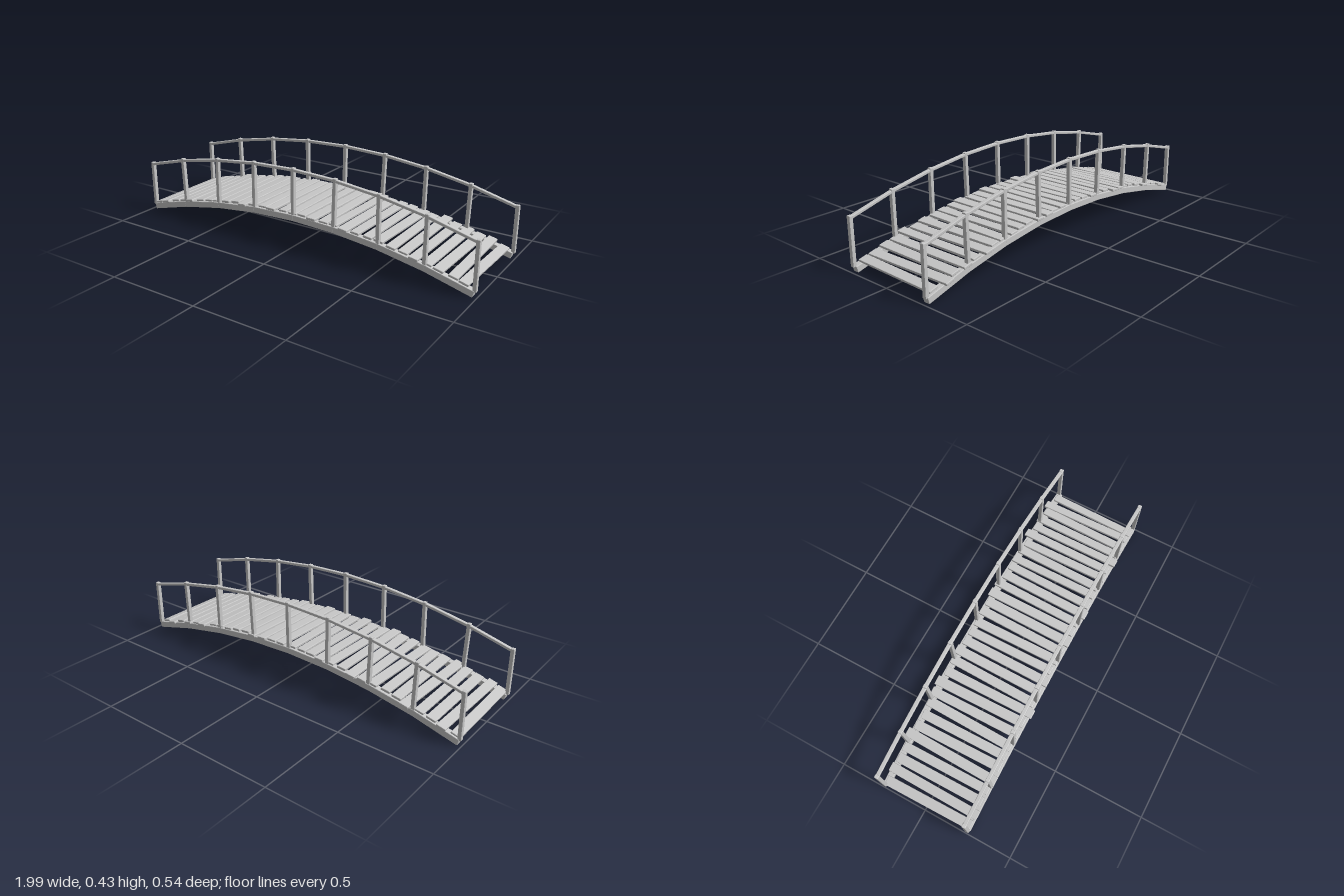
import * as THREE from 'three';
import { RoundedBoxGeometry } from 'three/addons/geometries/RoundedBoxGeometry.js';

// Small seeded random in -1..1 for hand-built irregularity
function makeJitter(seed) {
  return () => {
    seed = (seed * 16807) % 2147483647;
    return (seed / 2147483647) * 2 - 1;
  };
}

// Centre line of the arched side beams
const arch = (x) => 0.163 - 0.149 * x * x;
const slope = (x) => Math.atan(-0.298 * x);

export function createModel() {
  const bridge = new THREE.Group();
  bridge.name = 'archedFootbridge';
  const wood = new THREE.MeshStandardMaterial({ color: 0xc8c8c8, flatShading: true });
  wood.name = 'plainGrey';
  const jitter = makeJitter(4711);

  function block(name, w, h, d, parent) {
    const mesh = new THREE.Mesh(new RoundedBoxGeometry(w, h, d, 1, 0.003), wood);
    mesh.name = name;
    parent.add(mesh);
    return mesh;
  }

  // Straight bar between two points in a plane of constant z
  function bar(name, x0, y0, x1, y1, h, d, z, extra, parent) {
    const mesh = block(name, Math.hypot(x1 - x0, y1 - y0) + extra, h, d, parent);
    mesh.position.set((x0 + x1) / 2, (y0 + y1) / 2, z);
    mesh.rotation.z = Math.atan2(y1 - y0, x1 - x0);
  }

  const stations = [-0.987, -0.745, -0.497, -0.249, 0, 0.245, 0.491, 0.738, 0.987];

  for (const side of [1, -1]) {
    const group = new THREE.Group();
    group.name = side > 0 ? 'frontSide' : 'backSide';
    bridge.add(group);

    // Beams and handrails run from post to post along the arch
    for (let i = 0; i < stations.length - 1; i++) {
      const a = stations[i], b = stations[i + 1];
      const beamA = Math.max(a, -0.982), beamB = Math.min(b, 0.982);
      bar('sideBeam', beamA, arch(beamA), beamB, arch(beamB), 0.034, 0.034, side * 0.242, 0.004, group);
      bar('handrail', a, arch(a) + 0.254, b, arch(b) + 0.254, 0.015, 0.02, side * 0.246, 0.016, group);
    }

    // Posts, the inner ones leaning a little
    stations.forEach((x, i) => {
      const end = i === 0 || i === stations.length - 1;
      const lean = end ? 0 : jitter() * 0.005;
      bar('post', x - lean, arch(x) + 0.012, x + lean, arch(x) + 0.266, 0.02, 0.022, side * 0.246, 0, group);
    });
  }

  // Deck planks, a few of them overhanging the beams
  const deck = new THREE.Group();
  deck.name = 'deck';
  bridge.add(deck);
  const frontOverhang = { 1: 0.262, 4: 0.262, 10: 0.27, 13: 0.262, 17: 0.262, 20: 0.266, 26: 0.266 };
  const backOverhang = {
    1: 0.263, 4: 0.274, 8: 0.263, 9: 0.27, 12: 0.262, 18: 0.265, 19: 0.265, 25: 0.274, 27: 0.263, 29: 0.274,
  };
  const count = 31;
  for (let i = 0; i < count; i++) {
    const x = -0.96 + (i * 1.896) / (count - 1);
    const front = frontOverhang[i] || 0.25 + jitter() * 0.005;
    const back = backOverhang[i] || 0.25 + jitter() * 0.005;
    const plank = block('plank', 0.05 + jitter() * 0.003, 0.014, front + back, deck);
    plank.position.set(x, arch(x) + 0.02 + jitter() * 0.001, (front - back) / 2);
    plank.rotation.set(jitter() * 0.008, jitter() * 0.022, slope(x) + jitter() * 0.03, 'ZYX');
  }

  return bridge;
}
